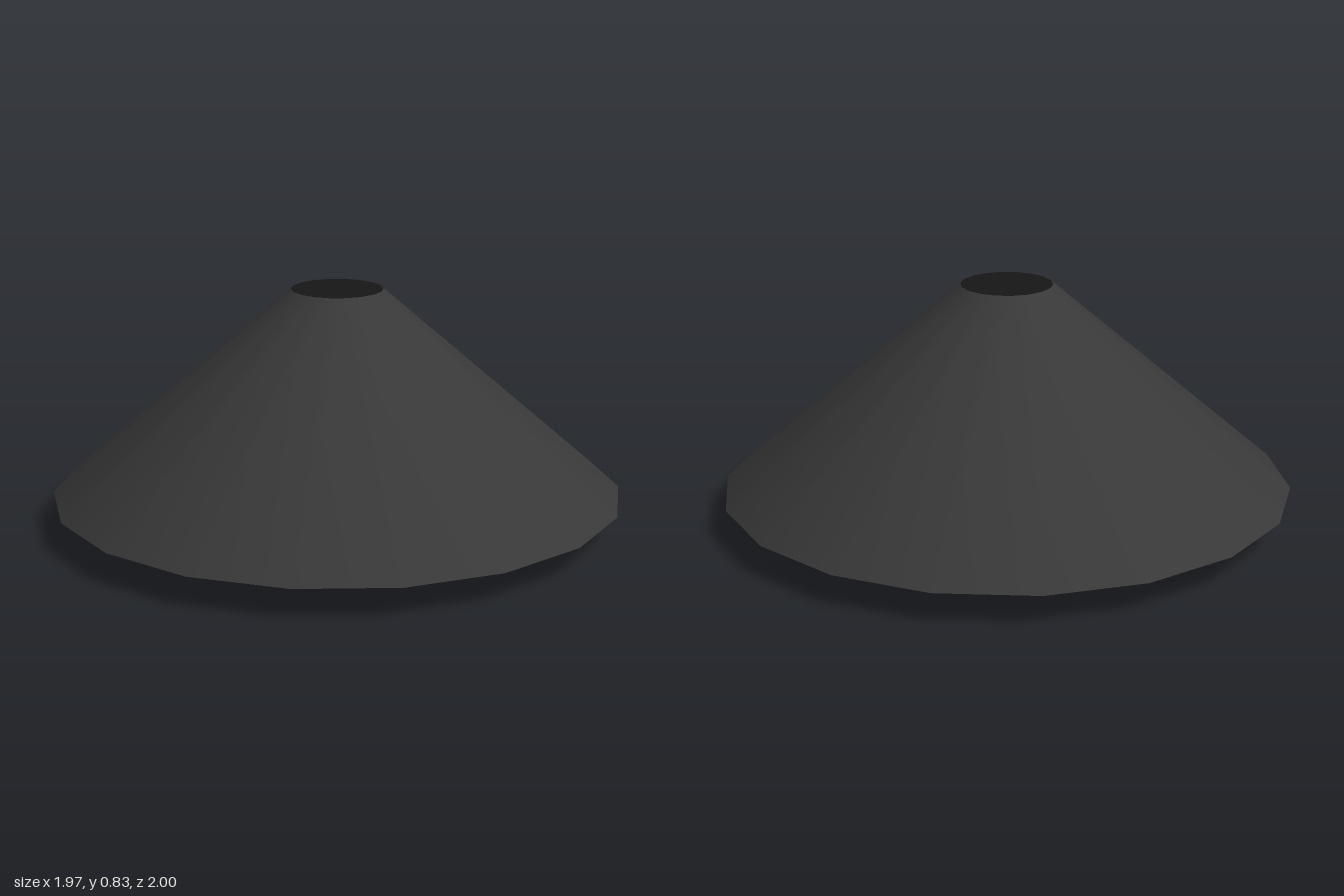
import * as THREE from 'three';

export function createModel() {
  const group = new THREE.Group();

  const charcoal = new THREE.MeshStandardMaterial({ color: 0x383838, side: THREE.DoubleSide });
  charcoal.name = 'charcoal shade';
  const cream = new THREE.MeshStandardMaterial({ color: 0xe0d3bb });
  cream.name = 'cream bulb';

  // Open conical shade, 18 sides with corners on the z axis
  const bottom = 0.107, top = 0.833;
  const shade = new THREE.Mesh(
    new THREE.CylinderGeometry(0.16, 1, top - bottom, 18, 1, true), charcoal);
  shade.name = 'shade';
  shade.position.y = (top + bottom) / 2;
  group.add(shade);

  // Round bulb hanging just below the rim
  const radius = 0.195;
  const bulb = new THREE.Mesh(new THREE.SphereGeometry(radius, 16, 8), cream);
  bulb.name = 'bulb';
  bulb.position.y = radius;
  group.add(bulb);

  return group;
}
